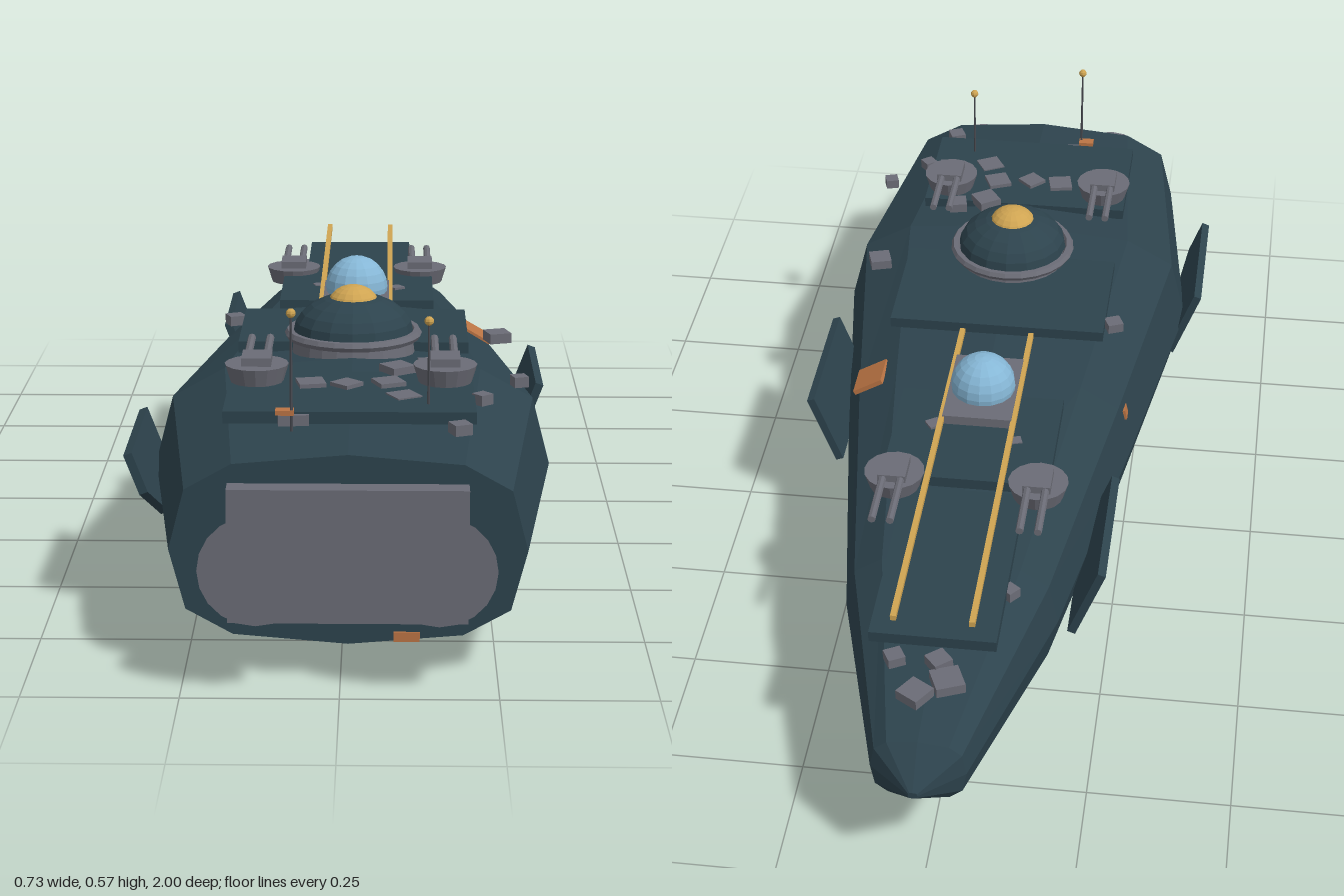
import * as THREE from 'three';

const CX = 0.012, CY = 0.21; // hull axis

// hull stations: z, half width, half height
const STATIONS = [
  [0.9, 0.284, 0.157], [0.43, 0.345, 0.19], [-0.05, 0.272, 0.163],
  [-0.55, 0.188, 0.123], [-0.94, 0.08, 0.062], [-1, 0.008, 0.006],
];
// quarter outline of the twelve-sided section, as shares of width and height
const SECTION = [[1, 0], [0.91, 0.63], [0.645, 0.9], [0, 1], [-0.645, 0.9], [-0.91, 0.63],
  [-1, 0], [-0.91, -0.63], [-0.645, -0.9], [0, -1], [0.645, -0.9], [0.91, -0.63]];

function hullTop(z) {
  for (let i = 0; i < STATIONS.length - 1; i++) {
    const [z0, , h0] = STATIONS[i], [z1, , h1] = STATIONS[i + 1];
    if (z <= z0 && z >= z1) return CY + h0 + (h1 - h0) * (z0 - z) / (z0 - z1);
  }
  return CY;
}

function hullGeometry() {
  const pos = [];
  const point = (s, j) => {
    const [z, w, h] = STATIONS[s], [u, v] = SECTION[j % 12];
    return [CX + u * w, CY + v * h, z];
  };
  const last = STATIONS.length - 1;
  for (let j = 0; j < 12; j++) {
    pos.push(CX, CY, 0.9, ...point(0, j), ...point(0, j + 1)); // stern cap
    for (let s = 0; s < last; s++) {
      const a = point(s, j), b = point(s, j + 1), c = point(s + 1, j), d = point(s + 1, j + 1);
      pos.push(...a, ...c, ...b, ...b, ...c, ...d);
    }
    pos.push(CX, CY, -1, ...point(last, j + 1), ...point(last, j)); // nose cap
  }
  const g = new THREE.BufferGeometry();
  g.setAttribute('position', new THREE.Float32BufferAttribute(pos, 3));
  g.computeVertexNormals();
  return g;
}

export function createModel() {
  const root = new THREE.Group();
  const material = (name, color) => {
    const m = new THREE.MeshStandardMaterial({ color, flatShading: true });
    m.name = name;
    return m;
  };
  const hullBlue = material('hullBlue', 0x2d434d);
  const grey = material('metalGrey', 0x6b6c76);
  const darkGrey = material('darkGrey', 0x484a50);
  const gold = material('gold', 0xcfa452);
  const rust = material('rust', 0xbb7444);
  const glass = material('blueGlass', 0x86b7d6);

  const add = (name, geo, mat, x = 0, y = 0, z = 0, parent = root) => {
    const m = new THREE.Mesh(geo, mat);
    m.name = name;
    m.position.set(x, y, z);
    parent.add(m);
    return m;
  };
  const box = (name, mat, w, h, d, x, y, z, parent) =>
    add(name, new THREE.BoxGeometry(w, h, d), mat, x, y, z, parent);
  const cyl = (name, mat, rTop, rBottom, h, n, x, y, z, parent) =>
    add(name, new THREE.CylinderGeometry(rTop, rBottom, h, n), mat, x, y, z, parent);
  const dome = (name, mat, r, squash, x, y, z) =>
    add(name, new THREE.SphereGeometry(r, 16, 6, 0, Math.PI * 2, 0, Math.PI / 2), mat, x, y, z).scale.y = squash;

  add('hull', hullGeometry(), hullBlue);

  // stern block and engine bells
  box('engineBlock', grey, 0.38, 0.22, 0.04, CX, CY, 0.915);
  for (const x of [-0.13, 0.155])
    cyl('engineBell', grey, 0.09, 0.055, 0.08, 20, x, CY, 0.96).rotation.x = Math.PI / 2;

  // deck plates, stepping down to the bow
  box('bowPlate', hullBlue, 0.215, 0.02, 0.395, CX, 0.338, -0.573);
  box('foreDeckPlate', hullBlue, 0.3, 0.02, 0.26, CX, 0.362, -0.245);
  box('midDeckPlate', hullBlue, 0.41, 0.02, 0.25, CX, 0.39, 0.195);
  box('aftDeckPlate', hullBlue, 0.41, 0.02, 0.25, CX, 0.388, 0.64);

  // long rails
  for (const x of [-0.055, 0.077])
    box('rail', gold, 0.01, 0.01, 0.84, x, 0.383, -0.35);

  // bridge dome with collar and cap
  cyl('bridgeBase', grey, 0.105, 0.11, 0.04, 24, CX, 0.395, 0.325);
  const collar = add('bridgeCollar', new THREE.TorusGeometry(0.113, 0.009, 6, 24), grey, CX, 0.42, 0.325);
  collar.rotation.x = Math.PI / 2;
  dome('bridgeDome', hullBlue, 0.106, 0.62, CX, 0.424, 0.325);
  dome('bridgeCap', gold, 0.046, 0.8, CX, 0.469, 0.325);

  // glass observation ball on its pedestal
  box('ballPedestal', grey, 0.127, 0.03, 0.195, CX, 0.375, -0.118);
  add('observationBall', new THREE.SphereGeometry(0.06, 16, 12), glass, CX, 0.4, -0.12);

  // twin-gun turrets pointing at the bow
  for (const [x, y, z] of [[-0.12, 0.352, -0.376], [0.138, 0.352, -0.376], [-0.147, 0.398, 0.573], [0.17, 0.398, 0.573]]) {
    const turret = new THREE.Group();
    turret.name = 'turret';
    turret.position.set(x, y, z);
    root.add(turret);
    cyl('turretBase', grey, 0.054, 0.045, 0.03, 16, 0, 0.015, 0, turret);
    box('gunHouse', grey, 0.05, 0.016, 0.06, 0, 0.036, -0.005, turret);
    for (const s of [-1, 1])
      cyl('gunBarrel', grey, 0.007, 0.007, 0.13, 8, s * 0.016, 0.036, -0.085, turret).rotation.x = Math.PI / 2;
  }

  // masts with ball tips
  for (const [x, top, z] of [[-0.081, 0.565, 0.78], [0.14, 0.537, 0.715]]) {
    cyl('mast', darkGrey, 0.0018, 0.003, top - 0.37, 6, x, (top + 0.37) / 2, z);
    add('mastTip', new THREE.SphereGeometry(0.008, 8, 6), gold, x, top, z);
  }

  // leaning armour panels with one cut corner
  const outline = new THREE.Shape([[-0.14, 0.073], [0.14, 0.073], [0.14, -0.073], [-0.035, -0.073], [-0.14, 0]]
    .map(([u, v]) => new THREE.Vector2(u, v)));
  const panel = new THREE.ExtrudeGeometry(outline, { depth: 0.015, bevelEnabled: false });
  panel.translate(0, 0, -0.0075).rotateY(Math.PI / 2);
  for (const [x, y, z] of [[0.326, 0.225, 0.07], [-0.334, 0.223, 0.515], [-0.222, 0.225, -0.375]])
    add('armourPanel', panel, hullBlue, x, y, z).rotation.z = -Math.sign(x) * 0.36;

  // keel pod with corner lamps
  box('keelPod', hullBlue, 0.251, 0.07, 0.303, CX, 0.035, 0.139);
  for (const sx of [-1, 1]) for (const z of [0.0, 0.278])
    box('keelLamp', gold, 0.012, 0.014, 0.014, CX + sx * 0.129, 0.02, z);

  // rust patches lying on the hull skin: size, position, roll
  for (const [w, h, d, x, y, z, roll] of [
    [0.062, 0.009, 0.07, 0.24, 0.331, -0.032, -0.53],
    [0.009, 0.045, 0.02, 0.267, 0.138, -0.04, -0.22],
    [0.009, 0.018, 0.02, 0.172, 0.112, -0.57, -0.4],
    [0.009, 0.02, 0.025, -0.245, 0.285, -0.02, -0.22],
    [0.042, 0.016, 0.008, 0.105, 0.066, 0.9, 0],
    [0.03, 0.008, 0.02, -0.092, 0.401, 0.775, 0],
  ]) box('rustPatch', rust, w, h, d, x, y, z, root).rotation.z = roll;

  // loose deck fittings: x, z, size, turn
  for (const [x, z, s, turn] of [
    [-0.02, -0.82, 0.05, 0.4], [0.03, -0.85, 0.045, 1], [0, -0.78, 0.035, 0.7], [0.075, -0.78, 0.03, 0.5],
    [-0.01, -0.57, 0.035, 0.2], [-0.1, -0.62, 0.025, 0.9], [-0.065, -0.25, 0.02, 0.3], [0.09, -0.22, 0.025, 0.6],
    [-0.21, 0.115, 0.03, 0.4], [0.27, 0.27, 0.04, 0.3], [0.09, 0.515, 0.045, 0.6], [0.145, 0.49, 0.035, 0.2],
    [-0.055, 0.6, 0.045, 0.2], [0.005, 0.605, 0.04, 0.8], [0.075, 0.595, 0.045, 0.4], [0.1, 0.665, 0.045, 0.5],
    [0.295, 0.57, 0.025, 0.3], [-0.08, 0.75, 0.05, 0.1], [0.19, 0.8, 0.03, 0.4], [0.23, 0.66, 0.025, 0.7],
  ]) box('deckFitting', grey, s, 0.018, s, x, hullTop(z) + 0.008, z).rotation.y = turn;

  return root;
}
